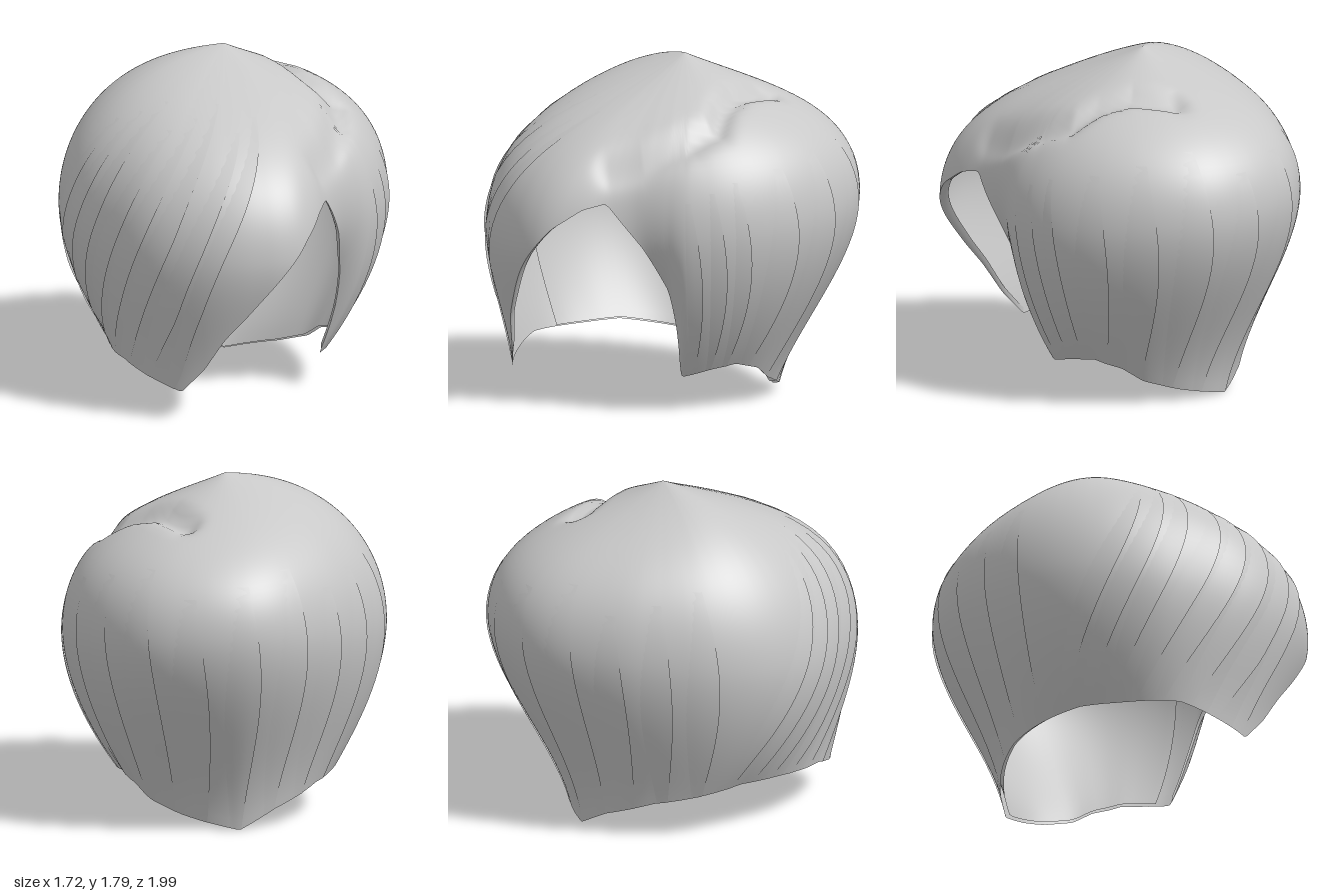
import * as THREE from 'three';

const TOP = 1.79;
const DEG = Math.PI / 180;
const { lerp, smoothstep, clamp } = THREE.MathUtils;

// Periodic lookup of [degrees, value] pairs (first at 0), softened over +-blur degrees.
// 0 degrees is the front (+z), 90 is the model's left (+x).
function around(pts, blur) {
  const ring = [...pts, [360, pts[0][1]]];
  const raw = (deg) => {
    const d = ((deg % 360) + 360) % 360;
    const i = Math.max(1, ring.findIndex((p) => p[0] >= d));
    const [a, va] = ring[i - 1], [b, vb] = ring[i];
    return lerp(va, vb, (d - a) / (b - a));
  };
  return (deg) => {
    let sum = 0;
    for (let k = -3; k <= 3; k++) sum += raw(deg + (k * blur) / 3);
    return sum / 7;
  };
}

// Widest outline seen from above, and a softer one for the crown
const outlinePts = [[0, 0.99], [22, 1.0], [30, 0.95], [36, 0.86], [46, 0.77], [61, 0.78], [75, 0.8],
  [90, 0.84], [103, 0.87], [123, 0.92], [148, 1.0], [174, 1.0], [186, 0.98], [207, 0.88], [232, 0.83],
  [251, 0.845], [270, 0.86], [291, 0.86], [315, 0.86], [333, 0.92], [349, 0.96]];
const outline = around(outlinePts, 7);
const softOutline = around(outlinePts, 35);
// Height of the widest point, and how far the crown slopes below a dome
const wideY = around([[0, 0.88], [90, 0.97], [180, 1.1], [270, 0.97]], 20);
const slope = around([[0, 0.52], [45, 0.5], [90, 0.46], [135, 0.56], [180, 0.6], [225, 0.35], [270, 0.05], [315, 0.28]], 20);
// Radius and height towards which the sides taper
const hemR = around([[0, 0.82], [40, 0.66], [73, 0.56], [90, 0.55], [115, 0.58], [145, 0.57], [180, 0.6],
  [225, 0.6], [270, 0.6], [290, 0.63], [315, 0.74], [344, 0.81]], 6);
const hemY = around([[0, 0.16], [73, 0.18], [90, 0.22], [105, 0.24], [120, 0.2], [131, 0.13], [150, 0.07], [180, 0.0],
  [198, 0.1], [225, 0.2], [270, 0.28], [315, 0.27], [344, 0.16]], 2);
// Lower edge of the hair, rising to a peak over the face
const edgeY = around([[0, 0.47], [7, 0.6], [18, 0.83], [27, 1.01], [35, 1.11], [42, 1.14], [56, 0.9], [67, 0.66],
  [71, 0.45], [74, 0.18], [90, 0.22], [105, 0.24], [120, 0.2], [131, 0.13], [150, 0.07], [180, 0.0], [198, 0.1],
  [225, 0.2], [270, 0.28], [315, 0.27], [344, 0.16], [353, 0.3]], 1);

// Side parting from the whorl to the peak of the face opening, as x, z
const parting = [[0.25, -0.45], [0.34, -0.25], [0.45, -0.12], [0.57, -0.03], [0.59, 0.12], [0.56, 0.38], [0.5, 0.55]];
function partingDistance(x, z) {
  let best = 9;
  for (let i = 0; i + 1 < parting.length; i++) {
    const [ax, az] = parting[i];
    const dx = parting[i + 1][0] - ax, dz = parting[i + 1][1] - az;
    const t = clamp(((x - ax) * dx + (z - az) * dz) / (dx * dx + dz * dz), 0, 1);
    best = Math.min(best, Math.hypot(x - ax - dx * t, z - az - dz * t));
  }
  return best;
}

// Fraction of the full radius at a crown height h between 0 and 1
function crownRadius(h, k) {
  let lo = 0, hi = 1;
  for (let i = 0; i < 22; i++) {
    const s = (lo + hi) / 2;
    if (Math.sqrt(1 - s ** 2.2) - k * s * (1 - s) > h) lo = s;
    else hi = s;
  }
  return lo;
}

// Point on the hair at an angle and height
function hairPoint(deg, y, lift = 0) {
  const w = wideY(deg);
  let R = outline(deg), s;
  if (y >= w) {
    s = crownRadius((y - w) / (TOP - w), slope(deg));
    R = lerp(softOutline(deg), R, s * s);
  } else {
    const u = (w - y) / (w - hemY(deg));
    const side = Math.sin(deg * DEG) ** 2;
    const taper = lerp(0.7 * smoothstep(u, 0, 1) + 0.3 * u ** 1.5, u ** 1.8, side);
    s = 1 - (1 - hemR(deg) / R) * taper;
  }
  // Side panel curls inward along the face
  const d = ((deg % 360) + 360) % 360;
  const curl = Math.exp(-(((d - 66) / 14) ** 2)) * Math.exp(-Math.max(0, y - edgeY(deg)) / 0.25);
  const r = R * s * (1 - 0.13 * curl) + lift;
  const x = r * Math.sin(deg * DEG);
  const z = r * Math.cos(deg * DEG) - (y > w ? 0.1 * (1 - s) : 0);
  // Groove along the parting
  const fade = smoothstep(y, 1.12, 1.4);
  const groove = 0.06 * fade * Math.exp(-((partingDistance(x, z) / 0.06) ** 2));
  return [x, y - groove + lift * 0.5 * fade, z];
}

// Smooth surface from a grid of points; rows run down, columns run anticlockwise
function gridGeometry(rows, cols, pointAt, closed = false) {
  const pos = [], index = [];
  const stride = closed ? cols : cols + 1;
  for (let i = 0; i <= rows; i++)
    for (let j = 0; j < stride; j++) pos.push(...pointAt(i / rows, j / cols));
  for (let i = 0; i < rows; i++)
    for (let j = 0; j < cols; j++) {
      const k = (j + 1) % stride;
      const a = i * stride + j, b = a + stride, c = (i + 1) * stride + k, e = i * stride + k;
      index.push(a, b, c, a, c, e);
    }
  const g = new THREE.BufferGeometry();
  g.setAttribute('position', new THREE.Float32BufferAttribute(pos, 3));
  g.setIndex(index);
  g.computeVertexNormals();
  return g;
}

export function createModel() {
  const group = new THREE.Group();
  group.name = 'hair';
  const hairGrey = new THREE.MeshStandardMaterial({ color: 0xc8c8c8, side: THREE.DoubleSide });
  hairGrey.name = 'hairGrey';
  const add = (name, geometry) => {
    const mesh = new THREE.Mesh(geometry, hairGrey);
    mesh.name = name;
    group.add(mesh);
  };

  // Main shell: crown, back, sides and swept fringe
  add('hairShell', gridGeometry(60, 300, (v, u) => {
    const deg = u * 360, end = edgeY(deg);
    const y = TOP - (TOP - end) * (1 - Math.cos((v * Math.PI) / 2));
    return hairPoint(deg, Math.max(y, end));
  }, true));

  // Inner cap behind the fringe, lining the back and sides
  add('innerCap', gridGeometry(24, 60, (v, u) => {
    const deg = 85 + u * 219;
    return hairPoint(deg, lerp(1.3, edgeY(deg) + 0.01, v), -0.02);
  }));

  // Turned-in lip along the face opening
  add('faceOpeningLip', gridGeometry(3, 100, (v, u) => {
    const deg = -16 + u * 90;
    const [x, y, z] = hairPoint(deg, edgeY(deg));
    const k = 1 - 0.05 * v * Math.sin(u * Math.PI);
    return [x * k, y + 0.03 * v * v, z * k];
  }));

  // Thin overlapping locks: angle at the tip, sweep and width in degrees, start height
  const lock = (name, deg, sweep, width, start) => add(name, gridGeometry(24, 4, (v, u) => {
    const a = deg + sweep * (v - 1) + (u - 0.5) * width * (0.2 + 0.8 * Math.sin(Math.PI * (0.05 + 0.85 * v)));
    const lift = 0.012 * u * Math.sin(Math.PI * (0.02 + 0.9 * v));
    return hairPoint(a, lerp(start, edgeY(a), v), lift);
  }));
  for (let i = 0; i < 9; i++) lock('backLock', 110 + i * 17, 0, 12, 1.3 + 0.06 * (i % 3));
  for (let i = 0; i < 8; i++) lock('fringeLock', 262 + i * 11, -38, 9, 1.5 + 0.05 * (i % 3));
  for (let i = 0; i < 3; i++) lock('sideLock', 80 + i * 9, 6, 6, 1.15 + 0.05 * i);
  return group;
}
